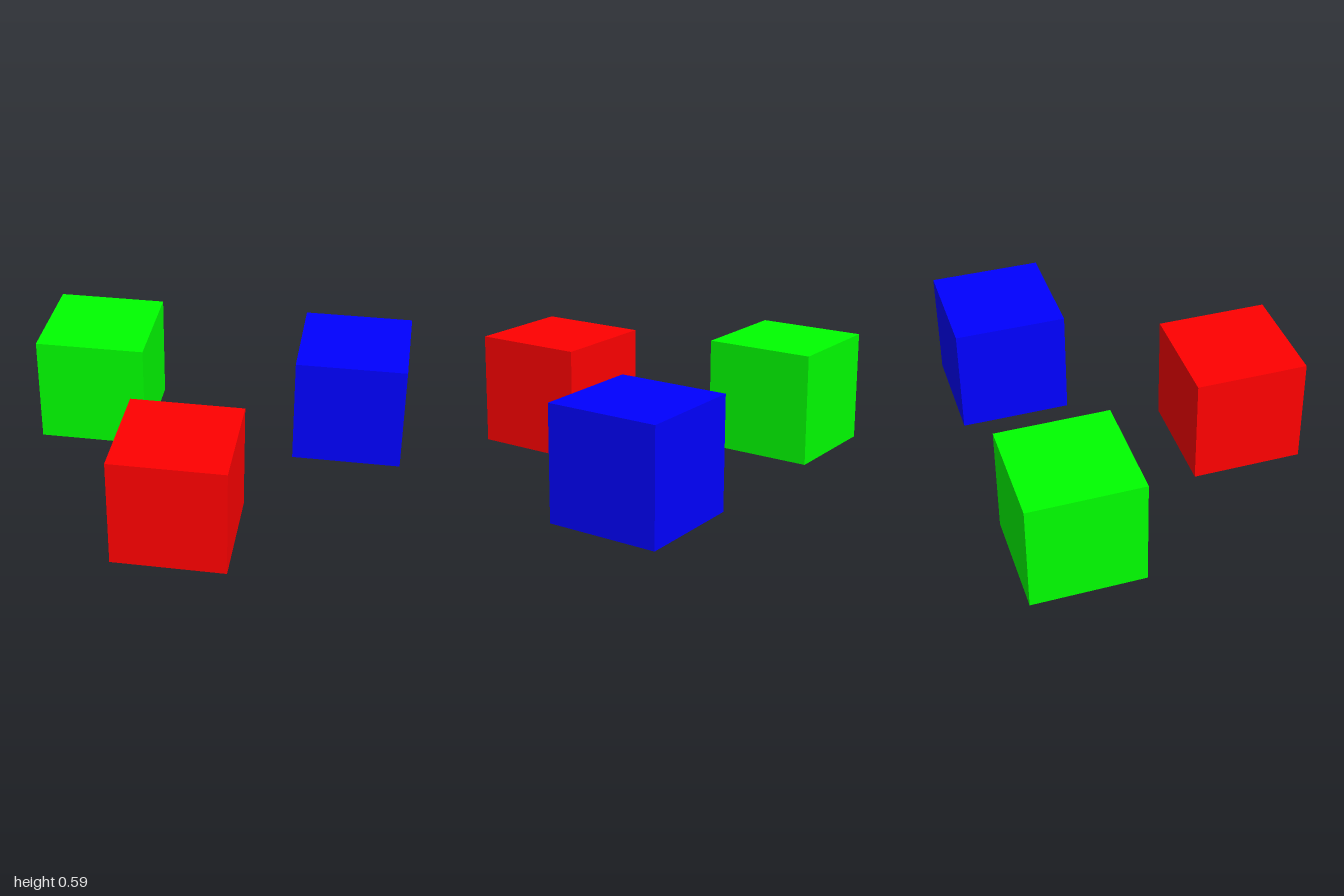
import * as THREE from 'three';

const SIZE = 0.588;

// One cube resting on the ground, centred at (x, z)
function makeCube(name, color, x, z) {
  const mesh = new THREE.Mesh(
    new THREE.BoxGeometry(SIZE, SIZE, SIZE),
    new THREE.MeshStandardMaterial({ color })
  );
  mesh.name = name;
  mesh.position.set(x, SIZE / 2, z);
  return mesh;
}

export function createModel() {
  const group = new THREE.Group();
  group.name = 'threeCubes';
  group.add(
    makeCube('redCube', 0xff0000, -0.085, 0.529),
    makeCube('greenCube', 0x00ff00, -0.706, -0.529),
    makeCube('blueCube', 0x0000ff, 0.706, -0.529)
  );
  return group;
}
